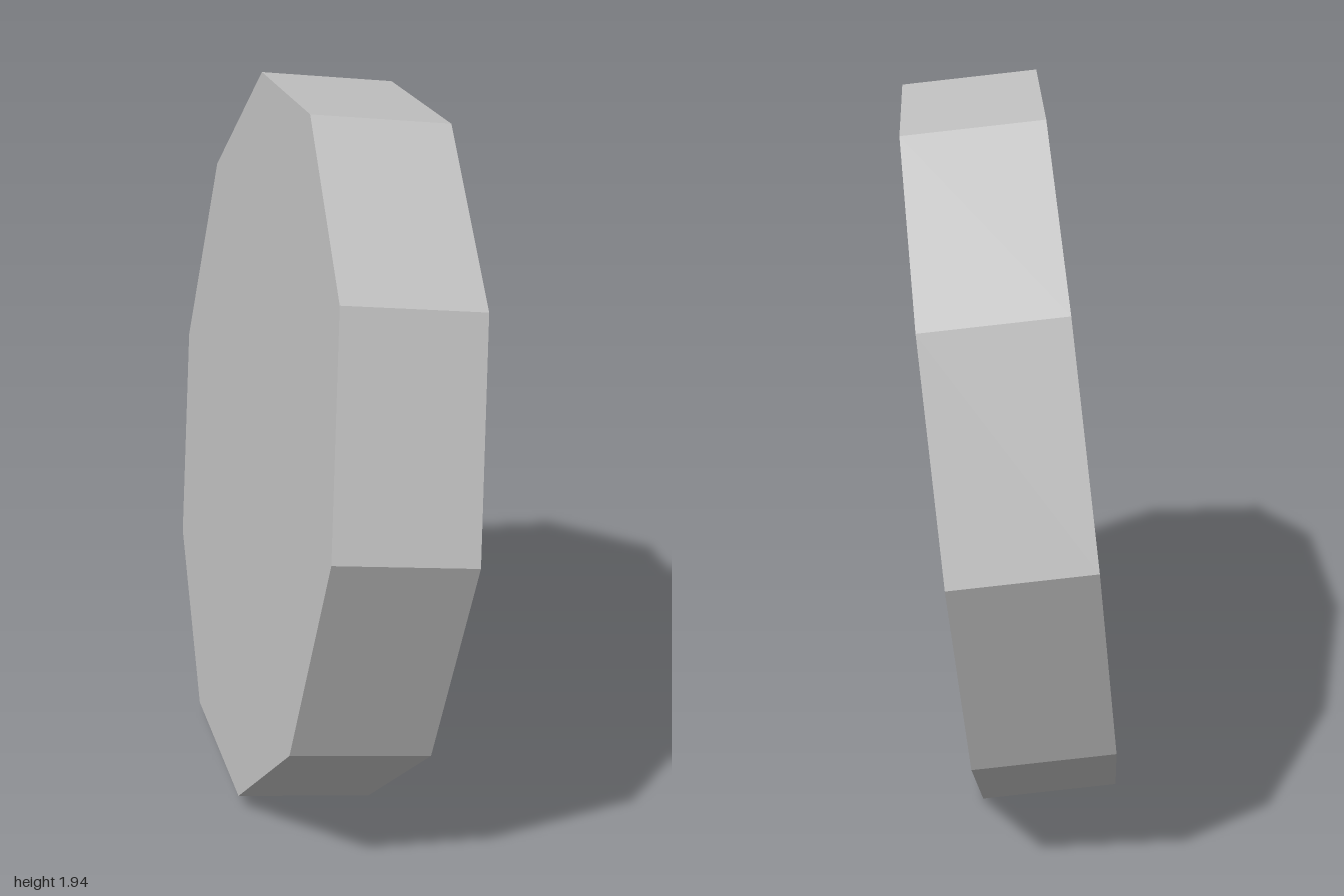
import * as THREE from 'three';

export function createModel() {
  const group = new THREE.Group();
  const grey = new THREE.MeshStandardMaterial({ color: 0xc0c0c0 });
  grey.name = 'plainGrey';

  // Ten-sided disc with flat sides and hard edges
  const geometry = new THREE.CylinderGeometry(1.0025, 1.0025, 0.373, 10).toNonIndexed();
  geometry.computeVertexNormals();
  const disc = new THREE.Mesh(geometry, grey);
  disc.name = 'tenSidedDisc';

  // Axis leans mostly sideways; one corner stays level with the centre
  const axis = new THREE.Vector3(0.345, -0.04, -0.136).normalize();
  const corner = new THREE.Vector3(0.136, 0, 0.345).normalize();
  const across = new THREE.Vector3().crossVectors(axis, corner);
  disc.quaternion.setFromRotationMatrix(new THREE.Matrix4().makeBasis(across, axis, corner));
  disc.position.y = 0.97;

  group.add(disc);
  return group;
}
